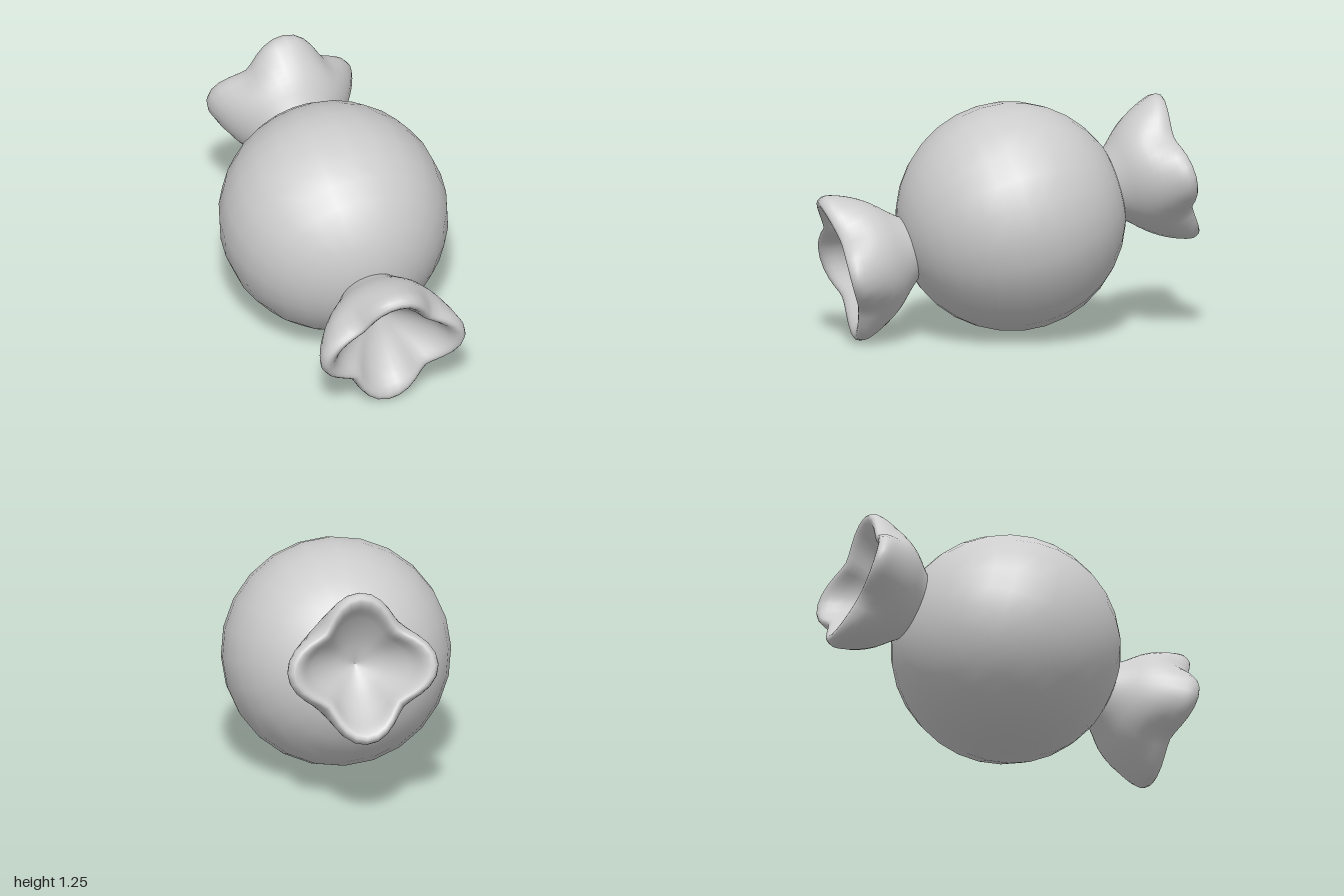
import * as THREE from 'three';

const CENTRE_Y = 0.63;
const AXIS = new THREE.Vector3(0.49, -0.258, 0.838).normalize();

// Flared wrapper end along +z: a closed loop profile blended between lobes and valleys
function wrapperEndGeometry() {
  // each point: radius at a lobe, radius at a valley, distance along the axis
  const profile = new THREE.CatmullRomCurve3([
    [0.14, 0.14, 0.52], [0.215, 0.215, 0.61], [0.29, 0.28, 0.69], [0.345, 0.312, 0.77],
    [0.388, 0.312, 0.86], [0.403, 0.302, 0.92], [0.38, 0.278, 0.96], [0.335, 0.245, 0.945],
    [0.27, 0.205, 0.86], [0.14, 0.12, 0.74], [0, 0, 0.66],
  ].map((p) => new THREE.Vector3(...p)));
  const rings = 26, sides = 40;
  const positions = [], index = [];
  for (let i = 0; i <= rings; i++) {
    const p = profile.getPoint(i / rings);
    for (let j = 0; j < sides; j++) {
      const a = (j / sides) * Math.PI * 2;
      const lobe = Math.pow(Math.max(0, 0.5 + 0.5 * Math.cos(4 * a)), 0.85); // broad, rounded lobes
      const r = Math.max(0, p.y + (p.x - p.y) * lobe);
      const dip = 0.3 * Math.max(0, p.x - p.y) * (1 - lobe); // valleys sit a little lower
      positions.push(r * Math.cos(a), r * Math.sin(a), p.z - dip);
      if (i < rings) {
        const k = (j + 1) % sides;
        const a0 = i * sides + j, b0 = i * sides + k;
        index.push(a0, b0, a0 + sides);
        if (i < rings - 1) index.push(b0, b0 + sides, a0 + sides);
      }
    }
  }
  const geometry = new THREE.BufferGeometry();
  geometry.setAttribute('position', new THREE.Float32BufferAttribute(positions, 3));
  geometry.setIndex(index);
  geometry.computeVertexNormals();
  return geometry;
}

export function createModel() {
  const model = new THREE.Group();
  model.name = 'wrappedCandy';
  const grey = new THREE.MeshStandardMaterial({ color: 0xcccccc });
  grey.name = 'grey';

  // Round candy body, poles along the twist axis
  const body = new THREE.Mesh(new THREE.SphereGeometry(0.606, 24, 16).rotateX(Math.PI / 2), grey);
  body.name = 'candyBody';
  body.position.set(-0.016, 0.632, -0.01);
  body.lookAt(body.position.clone().add(AXIS));
  model.add(body);

  // Two twisted wrapper ends on opposite sides
  const geometry = wrapperEndGeometry();
  for (const [name, sign] of [['frontWrapperEnd', 1], ['backWrapperEnd', -1]]) {
    const end = new THREE.Mesh(geometry, grey);
    end.name = name;
    end.position.y = CENTRE_Y;
    end.lookAt(end.position.clone().addScaledVector(AXIS, sign));
    model.add(end);
  }
  return model;
}
